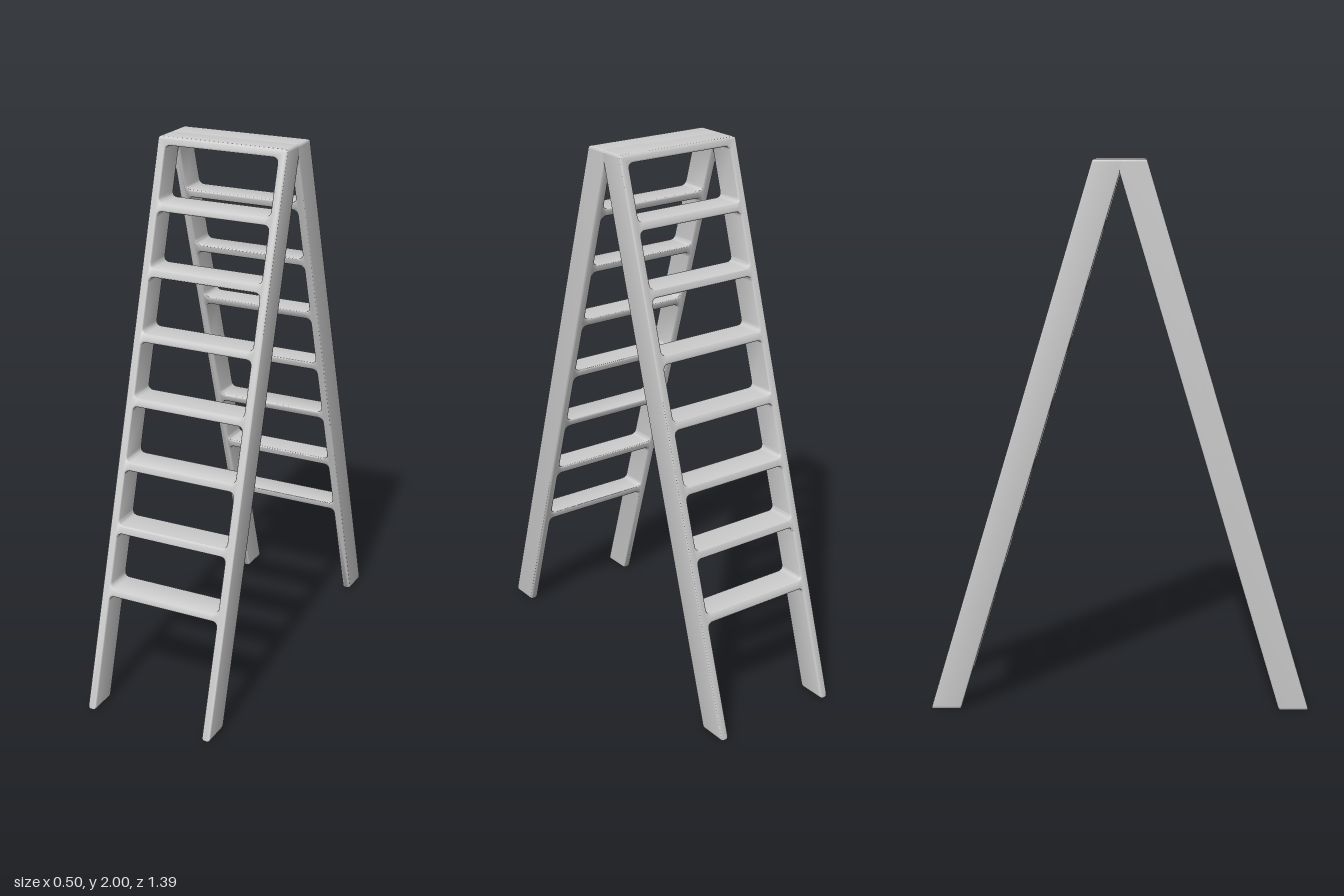
import * as THREE from 'three';
import { toCreasedNormals } from 'three/addons/utils/BufferGeometryUtils.js';

const HALF = 0.25, INNER = 0.218;       // outer and inner half widths of the rails
const DEPTH = 0.11, BEVEL = 0.006;      // rail depth and edge rounding
const SLOPE = 0.3, TOP_Z = 0.095;       // outward lean, and front edge at the top
const STEPS = 7, PITCH = 0.2225, STEP = 0.03;

// Append a closed polygon with rounded corners; points are [x, y, radius]
function roundedLoop(path, points) {
  const v = points.map(([x, y]) => new THREE.Vector2(x, y));
  const n = v.length;
  for (let i = 0; i < n; i++) {
    const p = v[i], r = points[i][2];
    const a = v[(i + n - 1) % n].clone().sub(p).setLength(r).add(p);
    const b = v[(i + 1) % n].clone().sub(p).setLength(r).add(p);
    if (i === 0) path.moveTo(a.x, a.y);
    else path.lineTo(a.x, a.y);
    path.quadraticCurveTo(p.x, p.y, b.x, b.y);
  }
  path.closePath();
  return path;
}

// One ladder half: rails, steps and half of the top platform, leaning outward
function ladderGeometry() {
  const legTop = 1.97 - STEPS * PITCH;
  const foot = 0.013;
  const shape = roundedLoop(new THREE.Shape(), [
    [-HALF, 0, foot], [-INNER, 0, foot],
    [-INNER, legTop, 0.02], [INNER, legTop, 0.02],
    [INNER, 0, foot], [HALF, 0, foot],
    [HALF, 2, 0.01], [-HALF, 2, 0.01],
  ]);

  // Openings between the steps
  for (let i = 0; i < STEPS; i++) {
    const top = 1.97 - i * PITCH;
    const bottom = top - PITCH + STEP;
    shape.holes.push(roundedLoop(new THREE.Path(), [
      [-INNER, bottom, 0.02], [-INNER, top, 0.02],
      [INNER, top, 0.02], [INNER, bottom, 0.02],
    ]));
  }

  const geometry = new THREE.ExtrudeGeometry(shape, {
    depth: DEPTH - 2 * BEVEL,
    curveSegments: 5,
    bevelThickness: BEVEL,
    bevelSize: BEVEL,
    bevelOffset: -BEVEL,
    bevelSegments: 3,
  });

  // Shear along z so the rails lean while the steps stay level
  const pos = geometry.attributes.position;
  for (let i = 0; i < pos.count; i++) {
    const z = pos.getZ(i) + BEVEL - DEPTH + TOP_Z;
    pos.setZ(i, z + SLOPE * (2 - pos.getY(i)));
  }
  return toCreasedNormals(geometry, 0.7);
}

export function createModel() {
  const model = new THREE.Group();
  model.name = 'stepladder';
  const material = new THREE.MeshStandardMaterial({ color: 0xcccccc });
  const geometry = ladderGeometry();

  // Two identical halves meet at the top platform
  ['frontLadder', 'rearLadder'].forEach((name, i) => {
    const half = new THREE.Mesh(geometry, material);
    half.name = name;
    half.rotation.y = i * Math.PI;
    model.add(half);
  });
  return model;
}
